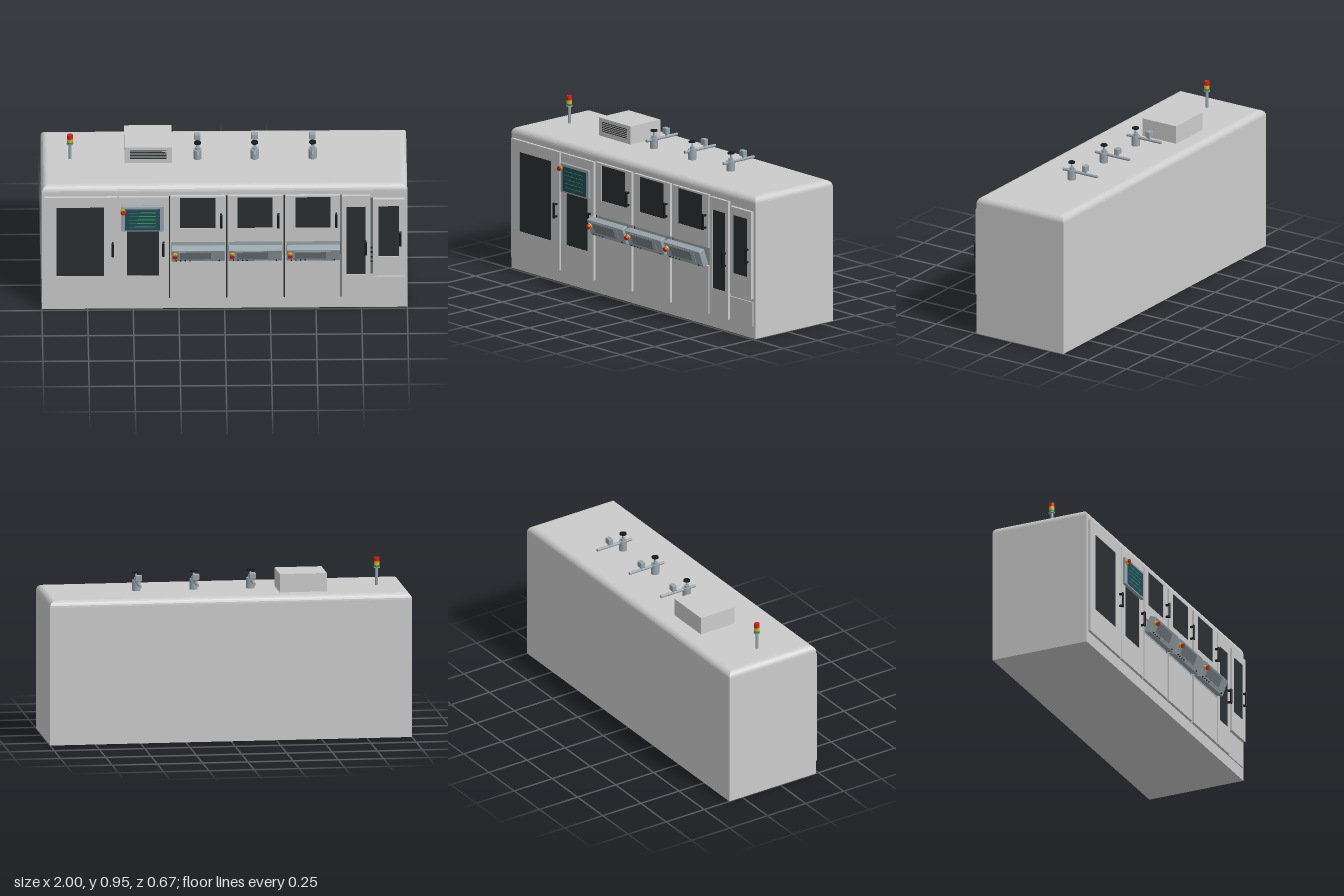
import * as THREE from 'three';
import { RoundedBoxGeometry } from 'three/addons/geometries/RoundedBoxGeometry.js';

const mat = (color, opts = {}) => new THREE.MeshStandardMaterial({ color, ...opts });
const grey = mat(0xcccccc);
const steel = mat(0x98a4ab);
const dark = mat(0x2b3032);
const black = mat(0x17191a);
const teal = mat(0x24485a);
const green = mat(0x2a9a4a);
const yellow = mat(0xe0b020);
const orange = mat(0xd07a20);
const red = mat(0xcc2418);

const FRONT = 0.235;  // cabinet front plane
const DOOR = 0.25;    // door front plane

function add(parent, name, geometry, material, x = 0, y = 0, z = 0) {
  const mesh = new THREE.Mesh(geometry, material);
  mesh.name = name;
  mesh.position.set(x, y, z);
  parent.add(mesh);
  return mesh;
}

// Box given by its limits on each axis
function block(parent, name, [x0, x1], [y0, y1], [z0, z1], material = grey) {
  return add(parent, name, new THREE.BoxGeometry(x1 - x0, y1 - y0, z1 - z0), material,
    (x0 + x1) / 2, (y0 + y1) / 2, (z0 + z1) / 2);
}

// Upright cylinder from y0 to y1
function post(parent, name, r, y0, y1, material, x = 0, z = 0) {
  return add(parent, name, new THREE.CylinderGeometry(r, r, y1 - y0, 24), material, x, (y0 + y1) / 2, z);
}

// Emergency stop facing +z, its base at the origin
function stopButton(parent, x, y, z) {
  const g = new THREE.Group();
  g.name = 'stopButton';
  for (const [r, z0, z1, m] of [[0.014, 0, 0.008, yellow], [0.009, 0.008, 0.014, orange], [0.013, 0.014, 0.022, red]]) {
    add(g, 'buttonStage', new THREE.CylinderGeometry(r, r, z1 - z0, 20), m, 0, 0, (z0 + z1) / 2).rotation.x = Math.PI / 2;
  }
  g.position.set(x, y, z);
  parent.add(g);
}

function handle(parent, x, y) {
  add(parent, 'doorHandle', new RoundedBoxGeometry(0.014, 0.09, 0.01, 2, 0.004), black, x, y, 0.271);
  for (const s of [-1, 1]) block(parent, 'handleMount', [x - 0.005, x + 0.005],
    [y + s * 0.035 - 0.005, y + s * 0.035 + 0.005], [DOOR - 0.002, 0.27], black);
}

// Framed door with an optional dark window and handle
function door(parent, name, xs, ys, win, grip, front = DOOR) {
  const g = new THREE.Group();
  g.name = name;
  const shape = new THREE.Shape();
  const rect = (p, [x0, x1], [y0, y1]) =>
    p.moveTo(x0, y0).lineTo(x1, y0).lineTo(x1, y1).lineTo(x0, y1).closePath();
  rect(shape, xs, ys);
  if (win) {
    const hole = new THREE.Path();
    rect(hole, win[0], win[1]);
    shape.holes.push(hole);
    block(g, 'window', win[0], win[1], [FRONT, front - 0.002], dark);
  }
  add(g, 'doorPanel', new THREE.ExtrudeGeometry(shape, { depth: front - FRONT, bevelEnabled: false }), grey, 0, 0, FRONT);
  if (grip) handle(g, ...grip);
  parent.add(g);
}

// Tilted operator box under each middle window
function controlBox(parent, x) {
  const g = new THREE.Group();
  g.name = 'controlBox';
  add(g, 'boxShell', new RoundedBoxGeometry(0.292, 0.097, 0.04, 2, 0.004), steel);
  block(g, 'boxScreenFrame', [-0.112, 0.095], [-0.03, 0.04], [0.018, 0.022], steel);
  block(g, 'boxScreen', [-0.1, 0.07], [-0.024, 0.034], [0.02, 0.0235], mat(0x747d82));
  for (const bx of [-0.12, -0.095, -0.07, -0.045, 0.115])
    add(g, 'smallButton', new THREE.CylinderGeometry(0.004, 0.004, 0.006, 12), black, bx, -0.038, 0.022).rotation.x = Math.PI / 2;
  stopButton(g, -0.127, 0.015, 0.02);
  g.position.set(x, 0.393, 0.283);
  g.rotation.x = 0.35;
  parent.add(g);
}

// Roof fitting: valve body, knob and a cross rod with a small block
function roofValve(parent, x) {
  const g = new THREE.Group();
  g.name = 'roofValve';
  const z = -0.047;
  post(g, 'valveBody', 0.023, 0.798, 0.858, steel, 0, z);
  post(g, 'valveNeck', 0.013, 0.858, 0.872, steel, 0, z);
  post(g, 'valveStem', 0.005, 0.872, 0.898, steel, 0, z);
  post(g, 'valveKnob', 0.019, 0.896, 0.904, black, 0, z);
  add(g, 'crossRod', new THREE.CylinderGeometry(0.008, 0.008, 0.225, 16), steel, 0, 0.849, -0.104).rotation.x = Math.PI / 2;
  post(g, 'blockPost', 0.006, 0.85, 0.87, steel, 0, -0.137);
  add(g, 'sensorBlock', new RoundedBoxGeometry(0.036, 0.035, 0.028, 2, 0.004), steel, 0, 0.883, -0.137);
  g.position.x = x;
  parent.add(g);
}

export function createModel() {
  const model = new THREE.Group();
  model.name = 'productionMachine';

  // Cabinet with a rounded lid
  block(model, 'cabinet', [-1, 1], [0, 0.765], [-0.335, FRONT]);
  const r = 0.035;
  const lid = new THREE.Shape([[-1 + r, -0.2], [1 - r, -0.2], [1 - r, 0.3], [-1 + r, 0.3]].map(p => new THREE.Vector2(...p)));
  const lidGeo = new THREE.ExtrudeGeometry(lid, { depth: 0.001, bevelThickness: r, bevelSize: r, bevelSegments: 6 });
  lidGeo.rotateX(-Math.PI / 2);
  add(model, 'lid', lidGeo, grey, 0, 0.764, 0);

  // Left-hand doors
  const full = [0.07, 0.74];
  door(model, 'wideDoor', [-0.985, -0.587], full, [[-0.92, -0.66], [0.225, 0.675]], [-0.612, 0.408]);
  door(model, 'screenDoor', [-0.577, -0.308], full, [[-0.535, -0.36], [0.225, 0.53]], [-0.335, 0.408]);

  // Operator screen
  add(model, 'monitor', new RoundedBoxGeometry(0.232, 0.165, 0.02, 2, 0.005), steel, -0.449, 0.607, 0.256);
  block(model, 'monitorScreen', [-0.545, -0.353], [0.535, 0.673], [0.26, 0.268], teal);
  for (let i = 0; i < 5; i++)
    block(model, 'screenLine', [-0.525, -0.375], [0.556 + i * 0.023, 0.56 + i * 0.023], [0.266, 0.269], green);
  stopButton(model, -0.556, 0.66, 0.266);

  // Three matching stations
  for (const x of [-0.145, 0.168, 0.485]) {
    door(model, 'stationDoor', [x - 0.148, x + 0.148], [0.445, 0.745],
      [[x - 0.098, x + 0.095], [0.535, 0.735]], [x + 0.126, 0.592]);
    block(model, 'stationRecess', [x - 0.148, x + 0.148], [0.345, 0.442], [FRONT - 0.01, 0.239], steel);
    door(model, 'lowerPanel', [x - 0.148, x + 0.148], [0.07, 0.342]);
    controlBox(model, x);
    roofValve(model, x);
  }
  for (const x of [-0.301, 0.0115, 0.3265, 0.638])
    block(model, 'doorGap', [x - 0.003, x + 0.003], full, [FRONT - 0.01, FRONT + 0.002], dark);

  // Right-hand doors
  door(model, 'narrowDoor', [0.643, 0.795], full, [[0.667, 0.77], [0.225, 0.67]], [0.771, 0.408]);
  block(model, 'sideRecess', [0.798, 0.812], [0.22, 0.72], [FRONT - 0.01, FRONT + 0.002], mat(0x6a7073));
  for (let i = 0; i < 4; i++)
    block(model, 'recessTerminal', [0.799, 0.81], [0.3 + i * 0.03, 0.308 + i * 0.03], [FRONT, FRONT + 0.006], black);
  door(model, 'endDoor', [0.813, 0.985], [0.225, 0.72], [[0.842, 0.955], [0.345, 0.675]], [0.962, 0.468], 0.254);
  door(model, 'endPanel', [0.8, 0.985], [0.07, 0.205], null, null, 0.242);

  // Roof ventilation box with a slatted front
  block(model, 'ventBox', [-0.545, -0.285], [0.798, 0.902], [-0.22, 0]);
  for (let i = 0; i < 6; i++)
    block(model, 'ventSlot', [-0.515, -0.315], [0.828 + i * 0.01, 0.832 + i * 0.01], [-0.005, 0.002], dark);

  // Signal tower
  const tower = new THREE.Group();
  tower.name = 'signalTower';
  for (const [name, rad, y0, y1, m] of [
    ['towerPole', 0.008, 0.798, 0.897, steel], ['towerFlange', 0.018, 0.895, 0.9, steel],
    ['greenLamp', 0.0155, 0.9, 0.911, green], ['yellowLamp', 0.0155, 0.911, 0.932, yellow],
    ['redLamp', 0.0155, 0.932, 0.955, red]]) post(tower, name, rad, y0, y1, m);
  tower.position.set(-0.843, 0, -0.05);
  model.add(tower);

  return model;
}
